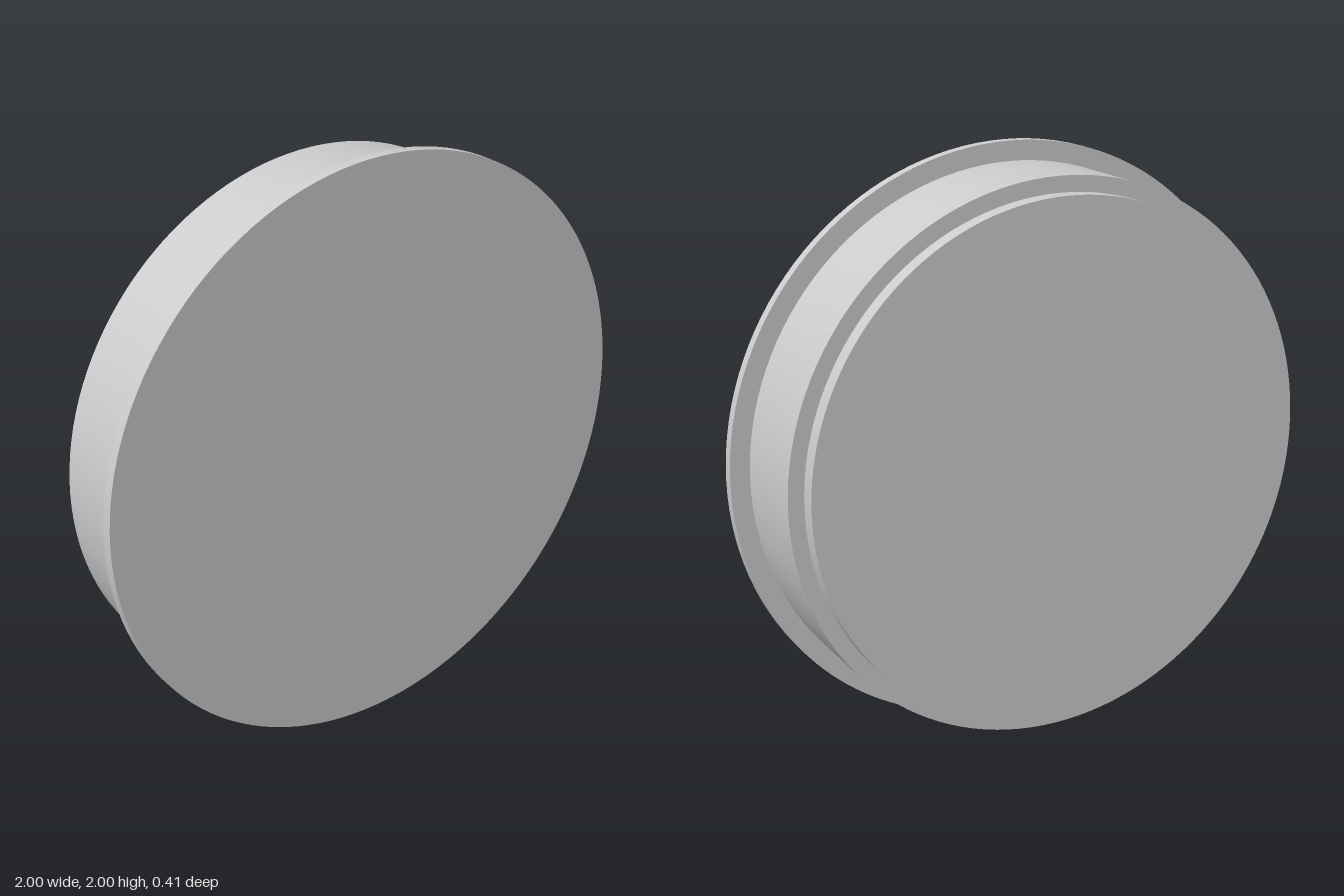
import * as THREE from 'three';
import { toCreasedNormals } from 'three/addons/utils/BufferGeometryUtils.js';

const SEGMENTS = 128;
const FLANGE_R = 1, BODY_R = 0.934, BOSS_R = 0.881;
const BACK = -0.205, STEP = -0.149, LIP = 0.168, FRONT = 0.205;

export function createModel() {
  const model = new THREE.Group();
  model.name = 'steppedRoundCap';
  const material = new THREE.MeshStandardMaterial({ color: 0xcccccc });

  // Turned part: profile of [radius, z], listed from back to front
  function turned(name, profile) {
    const points = profile.map(([r, z]) => new THREE.Vector2(r, z));
    const lathe = new THREE.LatheGeometry(points, SEGMENTS);
    lathe.rotateX(Math.PI / 2);
    const mesh = new THREE.Mesh(toCreasedNormals(lathe, Math.PI / 6), material);
    mesh.name = name;
    mesh.position.y = FLANGE_R;
    model.add(mesh);
  }

  // Closed back face with its short rim
  turned('backBoss', [[0, BACK], [BOSS_R, BACK], [BOSS_R, STEP]]);
  // Shoulder ring and main wall
  turned('body', [[BOSS_R, STEP], [BODY_R, STEP], [BODY_R, LIP]]);
  // Thin front disc, wider than the body
  turned('frontFlange', [[BODY_R, LIP], [FLANGE_R, LIP], [FLANGE_R, FRONT], [0, FRONT]]);

  return model;
}
